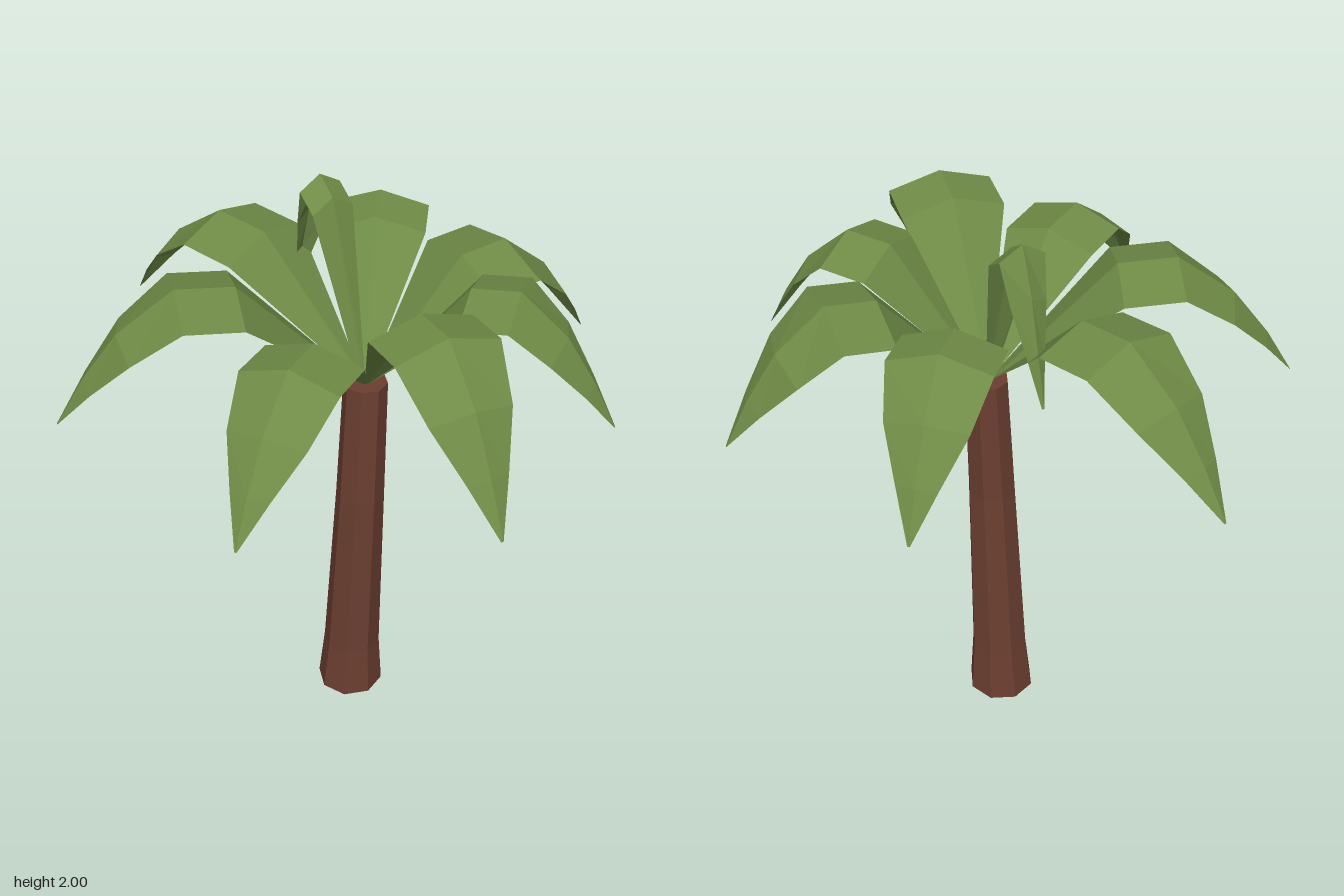
import * as THREE from 'three';

const bark = new THREE.MeshStandardMaterial({ name: 'barkBrown', color: 0x6b3e30, flatShading: true });
const green = new THREE.MeshStandardMaterial({ name: 'leafGreen', color: 0x6f8b46, flatShading: true, side: THREE.DoubleSide });

const CROWN = new THREE.Vector3(0.053, 1.36, 0);

// Eight-sided trunk: each row of the cylinder is moved to [y, centre x, centre z, radius]
function makeTrunk() {
  const rows = [
    [0, 0.015, -0.034, 0.119],
    [0.2, 0.02, -0.03, 0.102],
    [0.9, 0.037, 0.0, 0.084],
    [1.36, 0.055, 0.0, 0.075],
  ];
  const geo = new THREE.CylinderGeometry(1, 1, 3, 8, 3, false, THREE.MathUtils.degToRad(9));
  const p = geo.attributes.position;
  for (let i = 0; i < p.count; i++) {
    const [y, cx, cz, r] = rows[Math.round(p.getY(i) + 1.5)];
    p.setXYZ(i, cx + p.getX(i) * r, y, cz + p.getZ(i) * r);
  }
  geo.computeVertexNormals();
  const mesh = new THREE.Mesh(geo, bark);
  mesh.name = 'trunk';
  return mesh;
}

// Folded leaf: raised midrib with a lower edge on both sides, rising to a crest and drooping to the tip
function makeLeaf({ tip, crest, half, shoulder = 0.015, fold = 0.05, bends = [0.41, 0.6] }) {
  const [tx, ty, tz] = tip;
  const dir = new THREE.Vector2(tx - CROWN.x, tz - CROWN.z);
  const reach = dir.length();
  dir.normalize();
  const droop = (t) => ty + (crest - ty) * t;
  // [distance, height, half width, fold inward, fold down]
  const stations = [
    [0.02, 1.362, 0.012, 0, 0],
    [bends[0] * reach, crest - shoulder, half, 0, 1],
    [bends[1] * reach, crest, half, 0, 1],
    [0.79 * reach, droop(0.69), half * 0.79, 0.5, 0.6],
    [0.91 * reach, droop(0.34), half * 0.4, 0.4, 0.2],
    [reach, ty, 0.004, 0, 0],
  ];
  const pos = [];
  const index = [];
  stations.forEach(([d, y, w, back, down], i) => {
    for (const side of [-1, 0, 1]) {
      const s = Math.abs(side);
      const r = d - s * back * fold;
      pos.push(
        CROWN.x + dir.x * r - dir.y * w * side,
        y - s * down * fold,
        CROWN.z + dir.y * r + dir.x * w * side
      );
    }
    if (i === 0) return;
    for (let k = 0; k < 2; k++) {
      const a = (i - 1) * 3 + k, b = a + 3;
      index.push(a, a + 1, b, a + 1, b + 1, b);
    }
  });
  const geo = new THREE.BufferGeometry();
  geo.setAttribute('position', new THREE.Float32BufferAttribute(pos, 3));
  geo.setIndex(index);
  geo.computeVertexNormals();
  return new THREE.Mesh(geo, green);
}

export function createModel() {
  const tree = new THREE.Group();
  tree.name = 'palmTree';
  tree.add(makeTrunk());

  const leaves = [
    { tip: [-0.40, 1.35, -0.91], crest: 1.79, half: 0.18 },
    { tip: [0.51, 1.35, -0.735], crest: 1.79, half: 0.165 },
    { tip: [0.925, 1.31, -0.05], crest: 1.75, half: 0.21 },
    { tip: [0.66, 1.35, 0.565], crest: 1.79, half: 0.176 },
    { tip: [0.05, 1.355, 0.905], crest: 1.845, half: 0.175 },
    { tip: [-0.66, 1.345, 0.60], crest: 1.75, half: 0.165 },
    { tip: [-0.93, 1.345, -0.23], crest: 1.79, half: 0.187 },
    // Young upright leaf
    { tip: [0.0, 1.51, -0.42], crest: 2.0, half: 0.075, shoulder: 0.05, fold: 0.045, bends: [0.45, 0.63] },
  ];
  const crown = new THREE.Group();
  crown.name = 'crown';
  leaves.forEach((spec, i) => {
    const leaf = makeLeaf(spec);
    leaf.name = i === leaves.length - 1 ? 'youngLeaf' : `leaf${i + 1}`;
    crown.add(leaf);
  });
  tree.add(crown);
  return tree;
}
